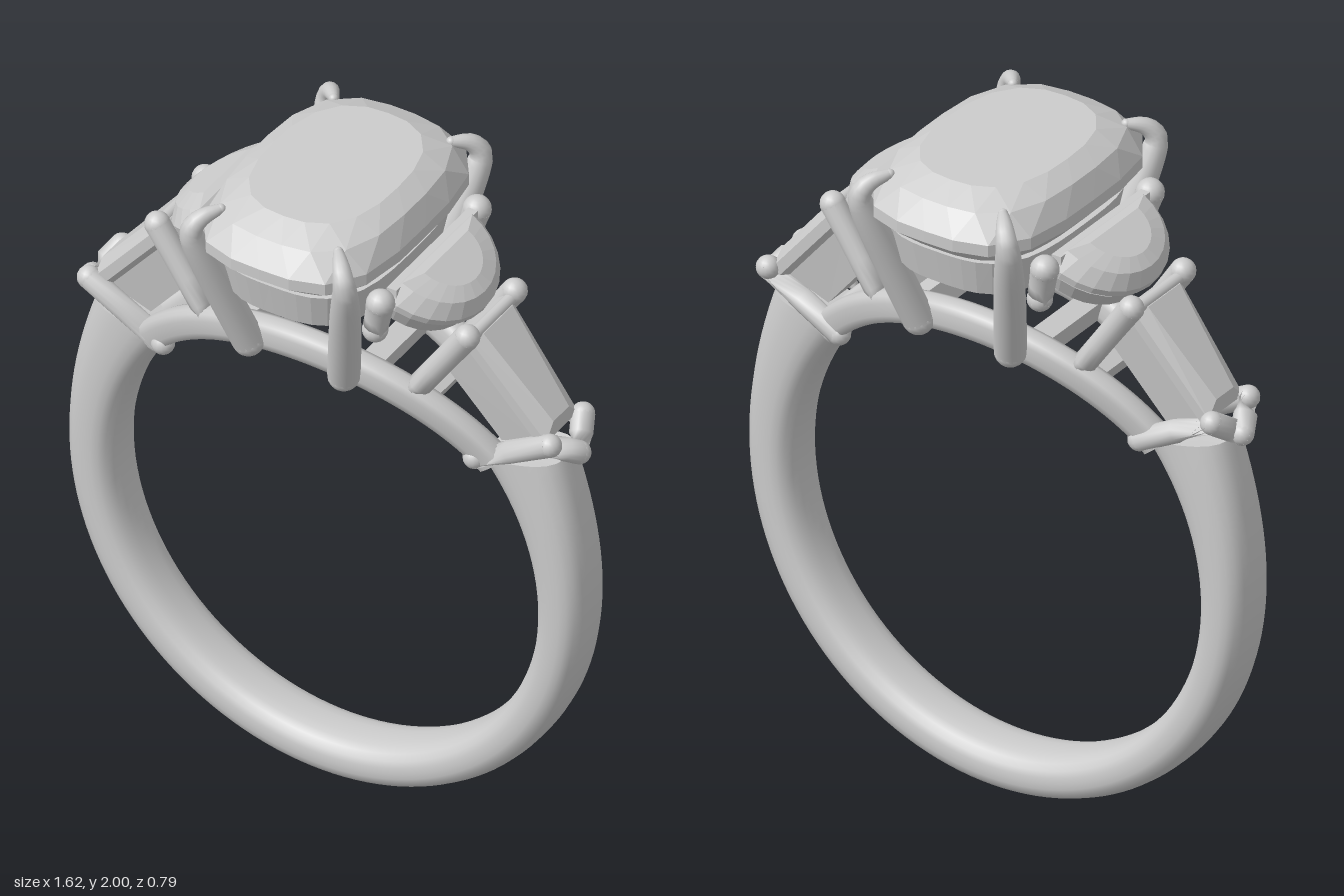
import * as THREE from 'three';

const metal = new THREE.MeshStandardMaterial({ color: 0xcccccc });
metal.name = 'polished grey';

const V = (x, y, z) => new THREE.Vector3(x, y, z);
const lerp = THREE.MathUtils.lerp;

// Skin a list of equal-sized point loops; winding is set so faces point outward.
function loft(loops, { flat = false, caps = true } = {}) {
  const n = loops[0].length, pts = loops.flat(), idx = [];
  for (let j = 0; j < loops.length - 1; j++) {
    for (let i = 0; i < n; i++) {
      const a = j * n + i, b = j * n + (i + 1) % n;
      idx.push(a, b, a + n, b, b + n, a + n);
    }
  }
  if (caps) {
    [loops[0], loops[loops.length - 1]].forEach((loop, end) => {
      const base = pts.length;
      const mid = loop.reduce((s, p) => s.add(p), V(0, 0, 0)).divideScalar(n);
      pts.push(...loop, mid);
      for (let i = 0; i < n; i++) {
        const a = base + i, b = base + (i + 1) % n;
        if (end) idx.push(a, b, base + n); else idx.push(b, a, base + n);
      }
    });
  }
  let volume = 0;
  for (let i = 0; i < idx.length; i += 3) {
    volume += pts[idx[i]].dot(pts[idx[i + 1]].clone().cross(pts[idx[i + 2]]));
  }
  if (volume < 0) idx.reverse();
  let geo = new THREE.BufferGeometry().setFromPoints(pts);
  geo.setIndex(idx);
  if (flat) geo = geo.toNonIndexed();
  geo.computeVertexNormals();
  return geo;
}

// Rounded-rectangle outline as [a, b] pairs
function cushion(n, ra, rb, power, phase = 0) {
  return Array.from({ length: n }, (_, i) => {
    const t = ((i + phase) / n) * Math.PI * 2, c = Math.cos(t), s = Math.sin(t);
    const k = Math.pow(Math.pow(Math.abs(c), power) + Math.pow(Math.abs(s), power), -1 / power);
    return [ra * c * k, rb * s * k];
  });
}

// Tapering round wire with ball ends
function rod(name, points, r0, r1 = r0, steps = 16, tension = 0.5) {
  const group = new THREE.Group();
  group.name = name;
  const curve = new THREE.CatmullRomCurve3(points, false, 'catmullrom', tension);
  const frames = curve.computeFrenetFrames(steps, false);
  const loops = [];
  for (let j = 0; j <= steps; j++) {
    const p = curve.getPointAt(j / steps), r = lerp(r0, r1, Math.pow(j / steps, 4));
    loops.push(Array.from({ length: 14 }, (_, i) => {
      const a = (i / 14) * Math.PI * 2;
      return p.clone().addScaledVector(frames.normals[j], r * Math.cos(a))
        .addScaledVector(frames.binormals[j], r * Math.sin(a));
    }));
  }
  group.add(new THREE.Mesh(loft(loops), metal));
  [[points[0], r0], [points[points.length - 1], r1]].forEach(([p, r]) => {
    const ball = new THREE.Mesh(new THREE.SphereGeometry(r, 16, 12), metal);
    ball.position.copy(p);
    group.add(ball);
  });
  return group;
}

export function createModel() {
  const model = new THREE.Group();
  model.name = 'threeStoneRing';
  const add = (name, geo) => {
    const mesh = new THREE.Mesh(geo, metal);
    mesh.name = name;
    model.add(mesh);
    return mesh;
  };
  const CY = 0.8, RIN = 0.665;
  const polar = (r, a, z) => V(r * Math.cos(a), CY + r * Math.sin(a), z);

  // Shank: open hoop that thickens toward both shoulders
  const shank = [];
  for (let j = 0; j <= 96; j++) {
    const t = j / 48 - 1;
    const thick = 0.13 + 0.1 * Math.pow(Math.abs(t), 6);
    shank.push(cushion(24, 0.5, 0.093, 2.8).map(([f, z]) => {
      const k = f + 0.5;
      const a = THREE.MathUtils.degToRad(-90 + t * (133 - 8 * k));
      return polar(RIN + thick * k, a, z);
    }));
  }
  add('shank', loft(shank));

  // Lower rails that bow outward beneath the stones
  const railZ = (a) => 0.065 + 0.105 * Math.pow(Math.max(0, Math.sin(((a - 0.68) / (Math.PI - 1.36)) * Math.PI)), 1.2);
  for (const side of [1, -1]) {
    const rail = [];
    for (let j = 0; j <= 40; j++) {
      const a = lerp(0.7, Math.PI - 0.7, j / 40);
      rail.push(cushion(16, 0.045, 0.034, 5).map(([r, z]) => polar(0.71 + r, a, side * railZ(a) + z)));
    }
    add('galleryRail', loft(rail));
  }
  for (const x of [-0.34, -0.19, 0.19, 0.34]) {
    const a = Math.acos(x / 0.71);
    const bar = add('railCrossbar', new THREE.BoxGeometry(0.06, 0.07, railZ(a) * 2));
    bar.position.copy(polar(0.71, a, 0));
    bar.rotation.z = a - Math.PI / 2;
  }

  // Large cushion-cut centre stone: table, crown, girdle, pavilion
  const cut = [[0.195, 0.27, 2.0, 2.6], [0.25, 0.345, 1.965, 3], [0.28, 0.395, 1.9, 3.4],
    [0.28, 0.395, 1.865, 3.4], [0.19, 0.28, 1.77, 3], [0.055, 0.1, 1.625, 2.4]];
  const phases = [0, 0.5, 1, 1, 1.5, 2];
  add('centreStone', loft(cut.map(([a, b, y, p], i) =>
    cushion(20, a, b, p, phases[i]).map(([x, z]) => V(x, y, z))), { flat: true }));

  // Collar below the centre stone
  const collar = [[0.225, 0.315, 1.70], [0.245, 0.34, 1.81], [0.205, 0.3, 1.81], [0.185, 0.275, 1.70], [0.225, 0.315, 1.70]];
  add('centreCollar', loft(collar.map(([a, b, y]) =>
    cushion(40, a, b, 3.2).map(([x, z]) => V(x, y, z))), { flat: true, caps: false }));

  for (const s of [1, -1]) {
    // Half-moon stone, tilted down and outward
    const moon = (scale, depth) => Array.from({ length: 15 }, (_, i) => {
      const a = (i / 14 - 0.5) * Math.PI;
      const u = 0.08 + (0.215 * Math.cos(a) - 0.08) * scale, z = 0.225 * Math.sin(a) * scale;
      return V(s * (0.285 + 0.87 * u + 0.49 * depth), 1.815 - 0.49 * u + 0.87 * depth, z);
    });
    add('halfMoonStone', loft([moon(0.5, 0.055), moon(0.8, 0.04), moon(1, 0), moon(1, -0.02),
      moon(0.6, -0.09), moon(0.15, -0.14)], { flat: true }));
    add('halfMoonCollar', loft([moon(0.78, -0.1), moon(0.9, -0.04), moon(0.75, -0.04),
      moon(0.62, -0.1), moon(0.78, -0.1)], { flat: true, caps: false }));
    add('dividerBar', new THREE.BoxGeometry(0.03, 0.07, 0.42)).position.set(s * 0.303, 1.80, 0);

    // Tapered baguette stone on the shoulder
    const taper = (u0, u1, w0, w1, d) => [[u0, w0], [u1, w1], [u1, -w1], [u0, -w0]].map(([u, z]) =>
      V(s * (0.465 + 0.64 * u + 0.77 * d), 1.695 - 0.77 * u + 0.64 * d, z));
    add('baguetteStone', loft([taper(0.04, 0.35, 0.075, 0.04, 0.025), taper(0.01, 0.385, 0.108, 0.082, 0),
      taper(0.01, 0.385, 0.108, 0.082, -0.03), taper(0.05, 0.37, 0.09, 0.065, -0.045),
      taper(0.09, 0.34, 0.07, 0.05, -0.17)], { flat: true }));
    model.add(rod('baguetteCrossbar', [V(s * 0.49, 1.68, -0.12), V(s * 0.49, 1.68, 0.12)], 0.018));

    // V-shaped guard over the shoulder tip
    const guard = [[0.49, 1.268, 0.088], [0.725, 1.395, 0.085], [0.765, 1.335, 0], [0.725, 1.395, -0.085], [0.49, 1.268, -0.088]]
      .map(([x, y, z]) => V(s * x, y, z));
    for (let i = 0; i < 4; i++) model.add(rod('shoulderGuard', [guard[i], guard[i + 1]], 0.033, 0.033, 2));

    for (const f of [1, -1]) {
      // Claw prongs for each stone
      model.add(rod('centreProng', [V(s * 0.15, 1.485, f * 0.205), V(s * 0.198, 1.69, f * 0.277), V(s * 0.238, 1.87, f * 0.342),
        V(s * 0.238, 1.918, f * 0.35), V(s * 0.218, 1.95, f * 0.33), V(s * 0.185, 1.965, f * 0.29)], 0.045, 0.014, 32));
      model.add(rod('halfMoonProng', [V(s * 0.265, 1.7, f * 0.232), V(s * 0.292, 1.808, f * 0.248)], 0.036, 0.04, 4));
      model.add(rod('baguetteProng', [V(s * 0.305, 1.425, f * 0.13), V(s * 0.487, 1.69, f * 0.122)], 0.034, 0.036, 4));
    }
  }
  return model;
}
